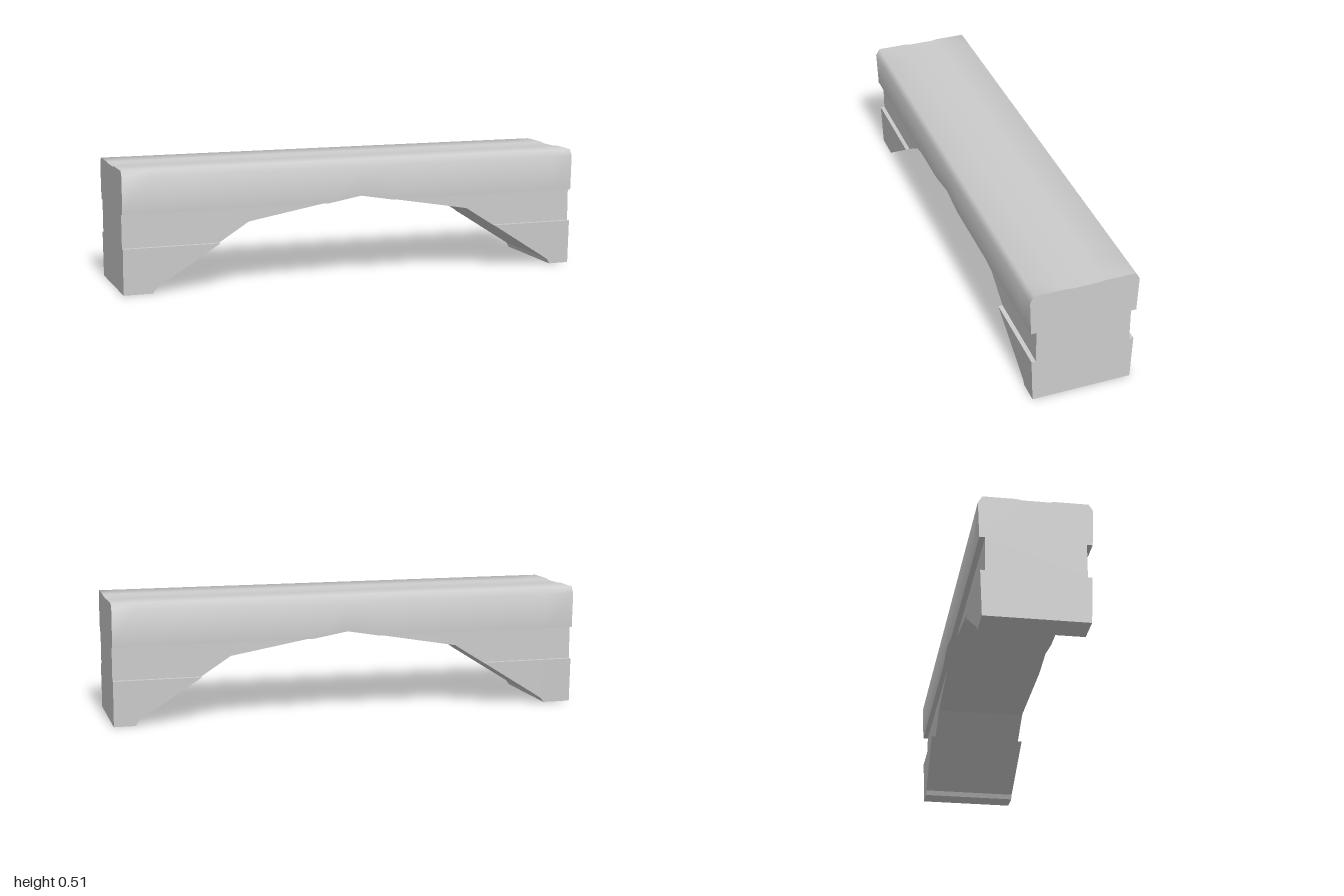
import * as THREE from 'three';
import { toCreasedNormals } from 'three/addons/utils/BufferGeometryUtils.js';

// Half cross-section (z, y), from the foot up over the ledges to the shallow dip on top
const HALF = [
  [0.206, 0], [0.213, 0.19], [0.195, 0.19], [0.195, 0.33], [0.217, 0.33],
  [0.223, 0.48], [0.206, 0.508], [0.075, 0.508], [0.05, 0.504],
];
// Faceted arch line (x, y)
const ARCH = [
  [-1, 0], [-0.88, 0], [-0.865, 0.02], [-0.47, 0.27], [0.015, 0.355],
  [0.51, 0.27], [0.9, 0.02], [0.91, 0], [1, 0],
];

// Arch points plus a pair of stations wherever the arch cuts through a ledge
function stations() {
  const out = [];
  ARCH.forEach(([x, y], i) => {
    out.push([x, y]);
    if (i === ARCH.length - 1) return;
    const [x2, y2] = ARCH[i + 1];
    const cuts = [0.1899, 0.1901, 0.3299, 0.3301]
      .map((h) => [(h - y) / (y2 - y), h])
      .filter(([t]) => t > 0 && t < 1)
      .sort((a, b) => a[0] - b[0]);
    for (const [t, h] of cuts) out.push([x + t * (x2 - x), h]);
  });
  return out;
}

// Full cross-section at x, cut off below the arch height
function ring([x, cut]) {
  const k = HALF.findIndex((p) => p[1] >= cut);
  let width = HALF[0][0];
  if (k > 0) {
    const [a, b] = [HALF[k - 1], HALF[k]];
    width = a[0] + ((b[0] - a[0]) * (cut - a[1])) / (b[1] - a[1]);
  }
  const half = HALF.map(([z, y], i) => (i < k ? [width, cut] : [z, y]));
  const mirrored = half.map(([z, y]) => [-z, y]).reverse();
  return [...half, ...mirrored].map(([z, y]) => new THREE.Vector3(x, y, z));
}

// Triangle list that leaves out collapsed triangles
function makeSoup() {
  const pos = [];
  const tri = (a, b, c) => {
    const area = b.clone().sub(a).cross(c.clone().sub(a)).length();
    if (area > 1e-9) for (const p of [a, b, c]) pos.push(p.x, p.y, p.z);
  };
  const quad = (a, b, c, d) => { tri(a, b, c); tri(a, c, d); };
  const geometry = () => {
    const g = new THREE.BufferGeometry();
    g.setAttribute('position', new THREE.Float32BufferAttribute(pos, 3));
    g.computeVertexNormals();
    return g;
  };
  return { tri, quad, geometry };
}

export function createModel() {
  const group = new THREE.Group();
  group.name = 'archedBeam';
  const material = new THREE.MeshStandardMaterial({ color: 0xcccccc });
  const rings = stations().map(ring);
  const n = HALF.length * 2;
  const add = (name, geometry) => {
    const mesh = new THREE.Mesh(geometry, material);
    mesh.name = name;
    group.add(mesh);
  };

  // Sides, ledges and top, with the faceted underside kept separate
  const body = makeSoup();
  const under = makeSoup();
  for (let i = 0; i < rings.length - 1; i++) {
    const [a, b] = [rings[i], rings[i + 1]];
    for (let j = 0; j < n - 1; j++) body.quad(a[j], b[j], b[j + 1], a[j + 1]);
    under.quad(a[n - 1], b[n - 1], b[0], a[0]);
  }
  add('beamBody', toCreasedNormals(body.geometry(), 1.05));
  add('archUnderside', under.geometry());

  // Flat ends
  for (const [name, r, dir] of [['leftEnd', rings[rings.length - 1], 1], ['rightEnd', rings[0], -1]]) {
    const cap = makeSoup();
    const outline = r.map((p) => new THREE.Vector2(p.z, p.y));
    for (const [i, j, k] of THREE.ShapeUtils.triangulateShape(outline, [])) {
      const [a, b, c] = [r[i], r[j], r[k]];
      const facing = b.clone().sub(a).cross(c.clone().sub(a)).x * dir;
      if (facing > 0) cap.tri(a, b, c);
      else cap.tri(a, c, b);
    }
    add(name, cap.geometry());
  }
  return group;
}
